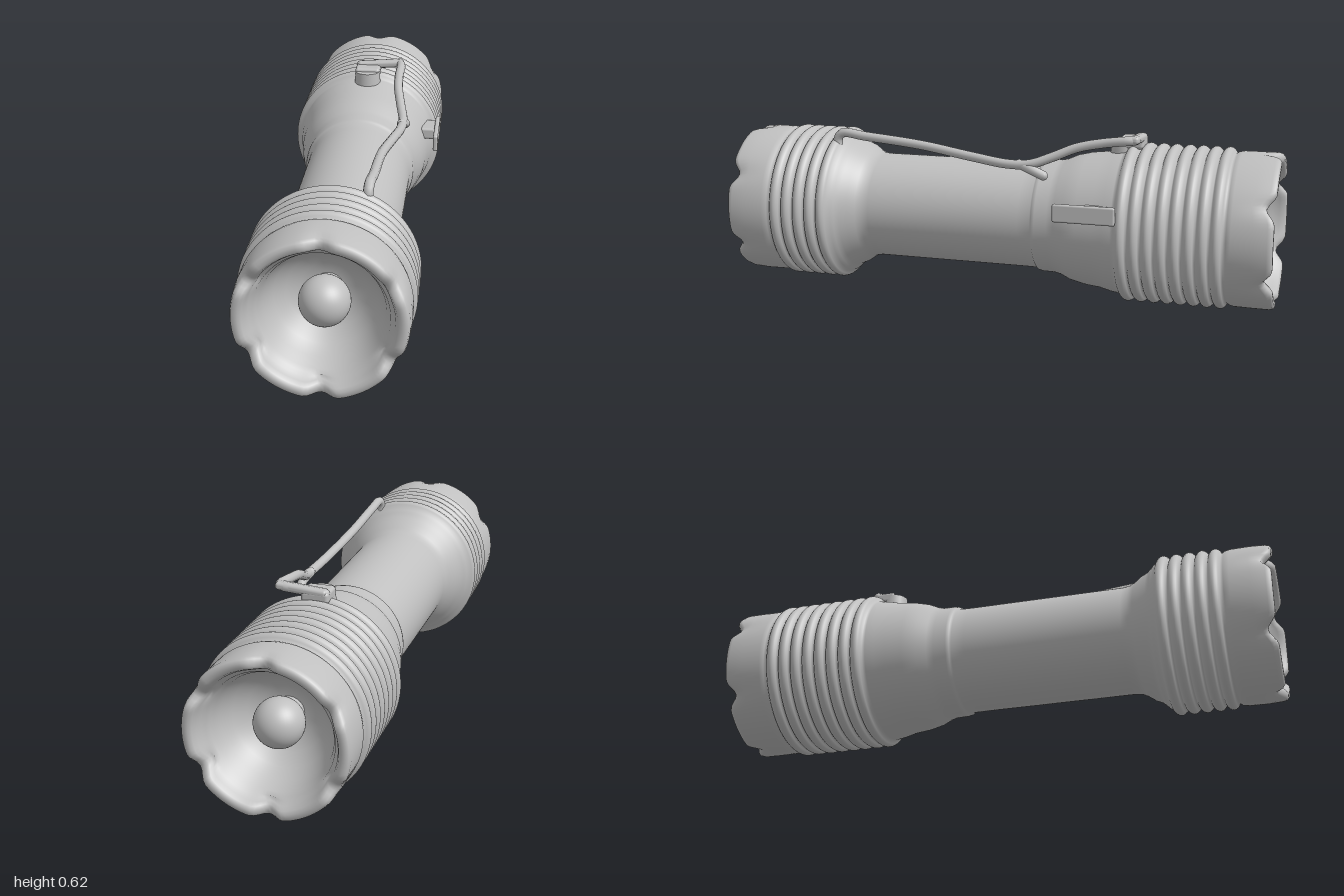
import * as THREE from 'three';
import { mergeVertices } from 'three/addons/utils/BufferGeometryUtils.js';
import { RoundedBoxGeometry } from 'three/addons/geometries/RoundedBoxGeometry.js';

const CX = -0.005, CY = 0.282;

// Row of rounded ribs between two z positions, as [radius, z] points
function ribs(z0, z1, count, low, high) {
  const out = [], steps = count * 8;
  for (let i = 0; i <= steps; i++) {
    const wave = Math.pow(Math.abs(Math.sin((i / 8) * Math.PI)), 0.7);
    out.push([low + (high - low) * wave, z0 + ((z1 - z0) * i) / steps]);
  }
  return out;
}

// Inside of a lamp cup from its centre out to the rim, for the +z end
const cup = [
  [0, 0.765], [0.05, 0.765], [0.09, 0.775], [0.13, 0.80], [0.165, 0.84], [0.188, 0.885],
  [0.198, 0.915], [0.206, 0.925], [0.212, 0.945], [0.224, 0.952], [0.23, 0.975],
  [0.238, 0.992], [0.248, 1], [0.262, 1], [0.271, 0.994], [0.275, 0.98],
];

function bodyGeometry() {
  const profile = [
    ...cup.map(([r, z]) => [r, -z]),
    [0.275, -0.93], [0.274, -0.86], [0.27, -0.845],
    ...ribs(-0.835, -0.46, 8, 0.264, 0.286),
    [0.262, -0.45], [0.257, -0.42], [0.247, -0.38], [0.24, -0.32], [0.228, -0.27],
    [0.212, -0.235], [0.206, -0.21], [0.205, -0.165], [0.202, -0.152], [0.194, -0.146],
    [0.193, -0.1], [0.193, 0.2], [0.193, 0.47],
    [0.197, 0.495], [0.207, 0.515], [0.225, 0.54], [0.236, 0.565], [0.25, 0.58], [0.26, 0.59],
    ...ribs(0.6, 0.83, 5, 0.266, 0.286),
    [0.273, 0.84], [0.277, 0.86], [0.278, 0.93],
    ...cup.slice().reverse(),
  ].map(([r, z]) => new THREE.Vector2(r, z));
  let geo = new THREE.LatheGeometry(profile, 120);
  geo.rotateX(Math.PI / 2);
  geo.deleteAttribute('uv');
  geo.deleteAttribute('normal');
  geo = mergeVertices(geo, 1e-5);
  // Press six scallops into both rims
  const p = geo.attributes.position;
  for (let i = 0; i < p.count; i++) {
    const x = p.getX(i), y = p.getY(i), z = p.getZ(i), r = Math.hypot(x, y);
    const edge = THREE.MathUtils.smoothstep(Math.abs(z), 0.9, 1);
    if (r < 0.222 || edge === 0) continue;
    const notch = Math.pow(Math.max(0, -Math.cos(6 * Math.atan2(y, x))), 3) * edge;
    const k = 1 - 0.03 * notch;
    p.setXYZ(i, x * k, y * k, z - Math.sign(z) * 0.03 * notch);
  }
  geo.computeVertexNormals();
  return geo;
}

export function createModel() {
  const group = new THREE.Group();
  const grey = new THREE.MeshStandardMaterial({ color: 0xc0c0c0 });
  grey.name = 'plain grey';

  function add(name, geo, x = 0, y = 0, z = 0) {
    const mesh = new THREE.Mesh(geo, grey);
    mesh.name = name;
    mesh.position.set(x, y, z);
    group.add(mesh);
    return mesh;
  }
  // Round bar along a smooth path with ball ends
  function bar(name, points, radius) {
    const path = points.map((q) => new THREE.Vector3(...q));
    const curve = new THREE.CatmullRomCurve3(path, false, 'centripetal');
    add(name, new THREE.TubeGeometry(curve, 80, radius, 12));
    for (const end of [path[0], path[path.length - 1]]) {
      add(name + 'End', new THREE.SphereGeometry(radius, 12, 8), end.x, end.y, end.z);
    }
  }

  // Tube with a ribbed lamp head at each end
  add('body', bodyGeometry(), CX, CY, 0);

  // Bulbs in both cups
  for (const side of [1, -1]) {
    add(side > 0 ? 'frontBulb' : 'rearBulb', new THREE.SphereGeometry(0.083, 40, 28), CX, CY + 0.003, side * 0.86);
    const stem = new THREE.CylinderGeometry(0.05, 0.05, 0.1, 24);
    stem.rotateX(Math.PI / 2);
    add('bulbStem', stem, CX, CY, side * 0.8);
  }

  // Long spring clip: front foot, dip to the tube, rise over the rear head, hook to one side
  bar('clip', [
    [0.105, 0.49, 0.612], [0.105, 0.545, 0.615], [0.107, 0.567, 0.595], [0.112, 0.56, 0.5],
    [0.118, 0.54, 0.28], [0.14, 0.513, 0.08], [0.158, 0.498, -0.06], [0.16, 0.502, -0.14],
    [0.145, 0.53, -0.22], [0.13, 0.563, -0.3], [0.125, 0.583, -0.39], [0.125, 0.596, -0.485],
    [0.115, 0.597, -0.502], [0.06, 0.592, -0.502], [-0.035, 0.584, -0.5],
  ], 0.017);
  // Small leg resting on the collar
  bar('clipLeg', [[0.157, 0.5, -0.1], [0.168, 0.483, -0.15], [0.165, 0.465, -0.19]], 0.017);

  // Flat end and foot of the hook
  add('clipHook', new RoundedBoxGeometry(0.18, 0.028, 0.04, 3, 0.012), 0.045, 0.592, -0.5).rotation.z = 0.08;
  add('clipFoot', new THREE.CylinderGeometry(0.048, 0.052, 0.07, 24), -0.003, 0.545, -0.445);
  add('clipFootBridge', new RoundedBoxGeometry(0.096, 0.04, 0.09, 3, 0.012), -0.003, 0.572, -0.475);

  // Side switch bar and its mount
  add('switchBar', new RoundedBoxGeometry(0.018, 0.064, 0.22, 3, 0.007), 0.277, 0.361, -0.362);
  add('switchMount', new RoundedBoxGeometry(0.06, 0.045, 0.1, 3, 0.01), 0.243, 0.361, -0.4);

  return group;
}
